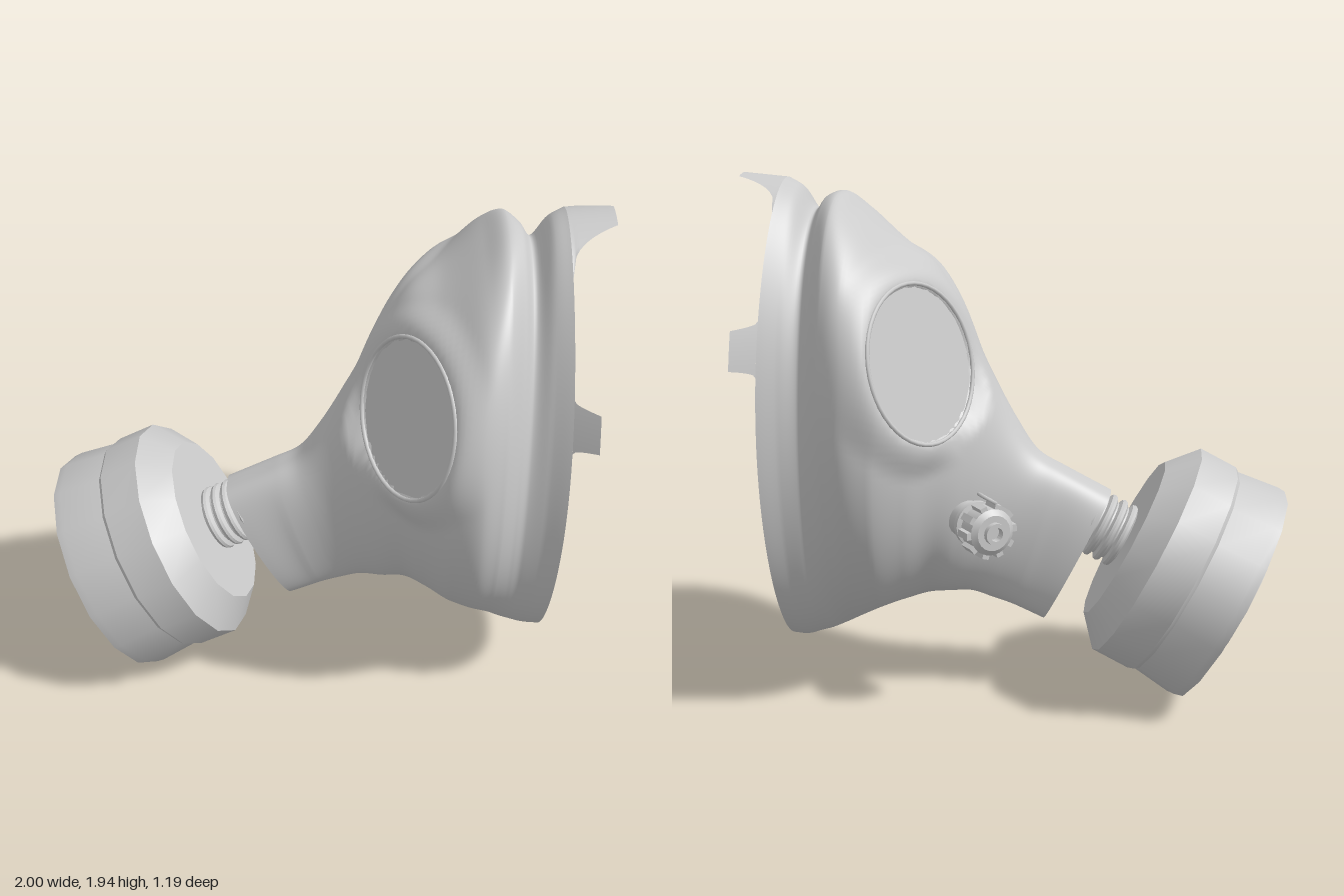
import * as THREE from 'three';
import { mergeVertices, toCreasedNormals } from 'three/addons/utils/BufferGeometryUtils.js';

const V = (x, y, z = 0) => new THREE.Vector3(x, y, z);
const grey = new THREE.MeshStandardMaterial({ color: 0xcccccc });
const greyThin = new THREE.MeshStandardMaterial({ color: 0xcccccc, side: THREE.DoubleSide });

// Stations from snout to back rim: top x,y, bottom x,y, half width, upper and lower fullness
const STATIONS = [
  [-0.35, 0.77, -0.10, 0.28, 0.14, 0.3, 0.3],
  [-0.17, 0.865, 0.01, 0.33, 0.14, 0.3, 0.3],
  [-0.08, 0.92, 0.09, 0.355, 0.15, 0.35, 0.35],
  [0.00, 1.04, 0.17, 0.38, 0.18, 0.45, 0.4],
  [0.10, 1.23, 0.25, 0.375, 0.24, 0.5, 0.48],
  [0.22, 1.50, 0.34, 0.36, 0.34, 0.6, 0.65],
  [0.31, 1.63, 0.42, 0.335, 0.46, 0.55, 0.65],
  [0.43, 1.71, 0.50, 0.31, 0.56, 0.45, 0.58],
  [0.56, 1.82, 0.58, 0.275, 0.585, 0.4, 0.55],
  [0.64, 1.88, 0.65, 0.24, 0.54, 0.42, 0.54],
  [0.69, 1.865, 0.70, 0.22, 0.48, 0.47, 0.5],
  [0.73, 1.82, 0.74, 0.21, 0.455, 0.5, 0.48],
  [0.79, 1.90, 0.79, 0.195, 0.465, 0.5, 0.48],
  [0.84, 1.93, 0.84, 0.20, 0.49, 0.5, 0.48],
];
const curveOf = (a, b, c) => new THREE.CatmullRomCurve3(
  STATIONS.map(s => V(s[a], s[b], c === undefined ? 0 : s[c])));
const topCurve = curveOf(0, 1), bottomCurve = curveOf(2, 3), shapeCurve = curveOf(4, 5, 6);

// Eye plane on the +z side
const EYE = V(0.31, 1.31, 0.32), EYE_R = 0.28;
const EYE_N = V(-0.83, 0.22, 0.485).normalize();

// Point on the face skin: u runs snout to rim, angle runs round from the top
function skin(u, angle) {
  const side = Math.sin(angle) < 0 ? -1 : 1;
  const s = (1 - Math.cos(angle)) / 2;
  const { x: w, y: p, z: q } = shapeCurve.getPoint(u);
  const peak = p / (p + q);
  const full = Math.pow(s, p) * Math.pow(Math.max(0, 1 - s), q) / (Math.pow(peak, p) * Math.pow(1 - peak, q));
  const pt = topCurve.getPoint(u).lerp(bottomCurve.getPoint(u), s);
  pt.z = w * full;
  // Slight outward bow of the rim at mid height
  pt.x += 0.03 * Math.pow(u, 12) * Math.sin(Math.PI * s);
  // Flatten the skin into the eye socket, with a tighter edge under the brow
  const centred = pt.z < 1e-3;
  const d = pt.clone().sub(EYE), h = d.dot(EYE_N);
  const r = d.addScaledVector(EYE_N, -h).length();
  const k = (1 - THREE.MathUtils.smoothstep(r, EYE_R, EYE_R * (h > 0 ? 1.25 : 1.45)))
    * (1 - THREE.MathUtils.smoothstep(u, 0.56, 0.66));
  const sink = -0.03 * (1 - THREE.MathUtils.smoothstep(r, EYE_R * 0.9, EYE_R));
  if (Math.abs(h) < 0.3) pt.addScaledVector(EYE_N, (sink - h) * k);
  pt.z = centred ? 0 : Math.max(pt.z, 0.004) * side;
  return pt;
}

// Grid surface from a rule f(u, v)
function surface(f, nu, nv) {
  const pos = [], idx = [];
  for (let i = 0; i <= nu; i++) for (let j = 0; j <= nv; j++) pos.push(...f(i / nu, j / nv).toArray());
  for (let i = 0; i < nu; i++) for (let j = 0; j < nv; j++) {
    const a = i * (nv + 1) + j, b = a + nv + 1;
    idx.push(a, a + 1, b, b, a + 1, b + 1);
  }
  const g = new THREE.BufferGeometry();
  g.setAttribute('position', new THREE.Float32BufferAttribute(pos, 3));
  g.setIndex(idx);
  const merged = mergeVertices(g, 1e-4);
  merged.computeVertexNormals();
  return merged;
}

function add(parent, name, geo, mat = grey) {
  const m = new THREE.Mesh(geo, mat);
  m.name = name;
  parent.add(m);
  return m;
}

const lathe = (pts, n) => toCreasedNormals(
  new THREE.LatheGeometry(pts.map(p => new THREE.Vector2(p[0], p[1])), n), 0.5);

// Group whose local +y points along dir
function along(parent, name, pos, dir) {
  const g = new THREE.Group();
  g.name = name;
  g.position.copy(pos);
  g.quaternion.setFromUnitVectors(V(0, 1, 0), dir.clone().normalize());
  parent.add(g);
  return g;
}

export function createModel() {
  const model = new THREE.Group();
  model.name = 'respiratorMask';
  const TAU = Math.PI * 2;

  // Face skin, snout end and inner lining fanned from one point of its own edge
  add(model, 'facePiece', surface((u, v) => skin(u, v * TAU), 104, 144), greyThin);
  const snoutCentre = V(-0.225, 0.525);
  add(model, 'snoutEnd', surface((u, v) => skin(0, v * TAU).lerp(snoutCentre, 1 - u), 1, 64), greyThin);
  const LINING_U = 10.8 / 13;
  const apex = skin(LINING_U, 0.28);
  add(model, 'innerLining', surface((u, v) => skin(LINING_U, v * TAU).lerp(apex, u), 1, 64), greyThin);

  // Strap tabs growing from the rim, flaring at the root
  function tab(name, mid, rootHalf, tipHalf, reach) {
    add(model, name, surface((u, v) => {
      const half = THREE.MathUtils.lerp(rootHalf, tipHalf, Math.pow(u, 0.4));
      return skin(1, mid + (v * 2 - 1) * half).addScaledVector(reach, u);
    }, 12, 16), greyThin);
  }
  tab('topTab', 0, 0.5, 0.14, V(0.16, 0.015, 0));
  for (const side of [1, -1]) {
    tab(side > 0 ? 'leftTab' : 'rightTab', side * 1.2, 0.12, 0.085, V(0.085, 0, side * 0.045));
  }

  // Eyepieces
  for (const side of [1, -1]) {
    const eye = along(model, side > 0 ? 'leftEyepiece' : 'rightEyepiece',
      V(EYE.x, EYE.y, EYE.z * side), V(EYE_N.x, EYE_N.y, EYE_N.z * side));
    const lens = add(eye, 'lens', new THREE.CylinderGeometry(EYE_R, EYE_R, 0.02, 48));
    lens.position.y = -0.018;
    const rim = add(eye, 'lensRim', new THREE.TorusGeometry(EYE_R + 0.005, 0.008, 8, 48));
    rim.rotation.x = Math.PI / 2;
  }

  // Filter canister, with stepped intake rings on its outer face
  const filter = along(model, 'filter', V(-0.8, 0.385), V(0.885, 0.466));
  const can = add(filter, 'canister', lathe([
    [0, 0.03], [0.13, 0.03], [0.13, -0.035], [0.17, -0.035], [0.17, -0.02], [0.22, -0.02], [0.22, -0.03],
    [0.26, -0.03], [0.26, -0.012], [0.3, -0.012], [0.3, -0.02], [0.35, -0.02], [0.35, 0],
    [0.436, 0], [0.438, 0.03], [0.418, 0.19], [0.43, 0.205], [0.43, 0.355],
    [0.322, 0.45], [0, 0.45]], 16));
  can.rotation.y = Math.PI / 16;

  // Threaded connector
  const thread = [[0.1, 0.43]];
  for (let i = 0; i < 4; i++) {
    const y = 0.45 + i * 0.042;
    thread.push([0.105, y], [0.122, y + 0.008], [0.126, y + 0.018], [0.122, y + 0.028], [0.105, y + 0.036]);
  }
  thread.push([0.1, 0.68]);
  add(filter, 'threadedConnector', lathe(thread, 24));

  // Side valve with ribbed cap and pull ring
  const valve = along(model, 'sideValve', V(0.15, 0.72, -0.25), V(-0.56, 0, -0.83));
  add(valve, 'valveStem', lathe([[0, -0.14], [0.07, -0.14], [0.07, 0.03], [0.085, 0.035], [0.085, 0.055],
    [0.06, 0.06], [0.06, 0.1], [0, 0.1]], 20));
  add(valve, 'valveCap', lathe([[0, 0.09], [0.085, 0.09], [0.085, 0.165], [0.065, 0.18], [0.04, 0.18],
    [0.04, 0.2], [0.025, 0.2], [0.025, 0.17], [0, 0.17]], 20));
  for (let i = 0; i < 10; i++) {
    const a = i / 10 * TAU;
    const rib = add(valve, 'capRib', new THREE.BoxGeometry(0.026, 0.07, 0.026));
    rib.position.set(Math.cos(a) * 0.087, 0.13, Math.sin(a) * 0.087);
    rib.rotation.y = -a;
  }
  // Ring stands on the upper side of the cap
  const ring = add(valve, 'pullRing', new THREE.TorusGeometry(0.035, 0.007, 6, 16));
  const up = V(0, 1, 0).applyQuaternion(valve.quaternion.clone().invert());
  ring.position.set(0, 0.13, 0).addScaledVector(up, 0.115);

  return model;
}
